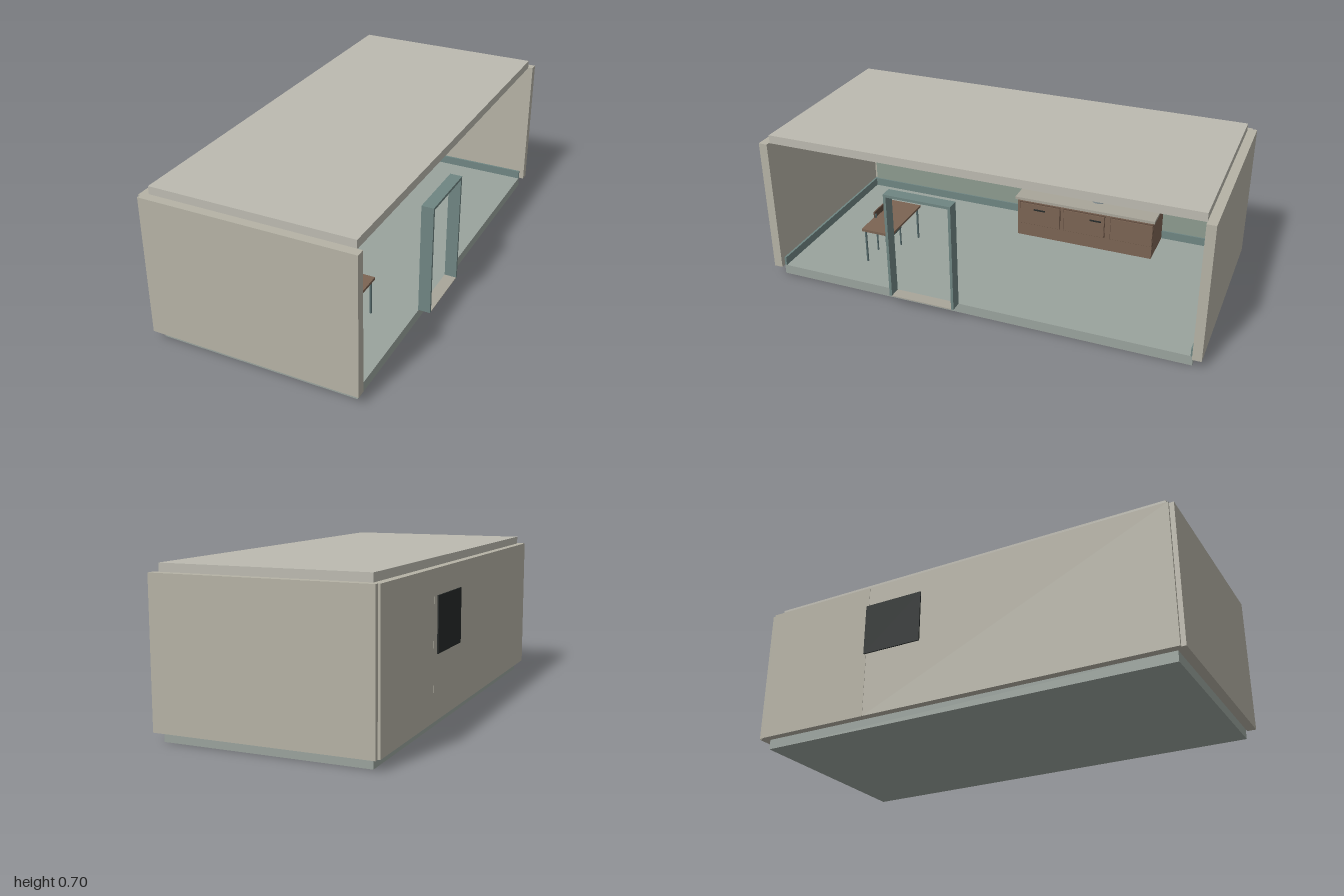
import * as THREE from 'three';

const mat = (color) => new THREE.MeshStandardMaterial({ color });
const M = {
  wall: mat(0xb5b2a5), roof: mat(0xbcbab0), floor: mat(0x9aa39d), tile: mat(0x8c9b8f),
  teal: mat(0x6f8582), trim: mat(0x566b6c), glass: mat(0x6d8384), wood: mat(0x7b6453),
  darkWood: mat(0x5e4a3d), dark: mat(0x262a29), metal: mat(0x8d9799), pale: mat(0xa9a59a),
  board: mat(0xb3ac8e),
};

export function createModel() {
  const root = new THREE.Group();

  const add = (name, geo, material, x, y, z, parent = root) => {
    const m = new THREE.Mesh(geo, material);
    m.name = name;
    m.position.set(x, y, z);
    parent.add(m);
    return m;
  };
  // Box given by its limits on each axis
  const box = (name, material, x0, x1, y0, y1, z0, z1, parent = root) =>
    add(name, new THREE.BoxGeometry(x1 - x0, y1 - y0, z1 - z0), material,
      (x0 + x1) / 2, (y0 + y1) / 2, (z0 + z1) / 2, parent);
  const cyl = (name, material, r, h, x, y, z, parent = root) =>
    add(name, new THREE.CylinderGeometry(r, r, h, 20), material, x, y, z, parent);
  const group = (name) => {
    const g = new THREE.Group();
    g.name = name;
    root.add(g);
    return g;
  };
  // Rectangular frame facing x, built from an outline with a hole
  const frame = (name, material, x0, x1, y0, y1, z0, z1, t, parent = root) => {
    const rect = (C, i) => {
      const s = new C();
      s.moveTo(-z1 + i, y0 + i);
      s.lineTo(-z0 - i, y0 + i);
      s.lineTo(-z0 - i, y1 - i);
      s.lineTo(-z1 + i, y1 - i);
      s.closePath();
      return s;
    };
    const shape = rect(THREE.Shape, 0);
    shape.holes.push(rect(THREE.Path, t));
    const geo = new THREE.ExtrudeGeometry(shape, { depth: x1 - x0, bevelEnabled: false });
    geo.rotateY(Math.PI / 2);
    return add(name, geo, material, x0, 0, 0, parent);
  };

  // Shell: slabs, end walls and the two-piece long wall
  box('floorSlab', M.floor, -0.445, 0.445, 0, 0.045, -0.96, 0.96);
  box('roofSlab', M.roof, -0.445, 0.445, 0.667, 0.705, -0.96, 0.96);
  for (const s of [-1, 1]) {
    const z0 = s > 0 ? 0.96 : -1;
    box('endWall', M.wall, -0.47, 0.468, 0.045, 0.67, z0, z0 + 0.04);
    const k = s * 0.955;
    box('endSkirting', M.teal, -0.445, 0.445, 0.045, 0.085, k - 0.005, k + 0.005);
  }
  box('longWall', M.wall, -0.48, -0.445, 0.045, 0.67, -0.43, 0.98);
  box('longWall', M.wall, -0.48, -0.445, 0.045, 0.67, -0.98, -0.431);
  box('wallTiles', M.tile, -0.446, -0.442, 0.045, 0.21, -0.93, 0.95);
  box('longSkirting', M.teal, -0.445, -0.435, 0.045, 0.085, -0.95, 0.95);

  // Door frame with threshold
  const door = group('doorFrame');
  for (const z of [0.075, 0.373]) {
    box('doorJamb', M.teal, 0.443, 0.497, 0.045, 0.55, z, z + 0.012, door);
  }
  box('doorHead', M.teal, 0.443, 0.497, 0.538, 0.55, 0.075, 0.385, door);
  box('threshold', M.pale, 0.443, 0.497, 0.043, 0.047, 0.087, 0.373, door);

  // Window with sill inside and shutter outside
  const win = group('window');
  frame('windowFrame', M.trim, -0.446, -0.43, 0.33, 0.565, -0.43, -0.14, 0.01, win);
  box('glass', M.glass, -0.446, -0.438, 0.34, 0.555, -0.42, -0.15, win);
  box('mullion', M.trim, -0.446, -0.43, 0.34, 0.555, -0.288, -0.282, win);
  box('sill', M.pale, -0.446, -0.4, 0.315, 0.329, -0.45, -0.115, win);
  box('shutter', M.dark, -0.5, -0.494, 0.33, 0.565, -0.43, -0.145, win);

  // Kitchen unit
  const kitchen = group('kitchenUnit');
  box('cabinet', M.wood, -0.435, -0.225, 0.045, 0.242, -0.615, 0.055, kitchen);
  box('worktop', M.pale, -0.44, -0.21, 0.242, 0.255, -0.625, 0.062, kitchen);
  for (const z of [-0.06, -0.282, -0.515]) {
    box('drawerFront', M.darkWood, -0.226, -0.221, 0.112, 0.228, z - 0.103, z + 0.103, kitchen);
    box('drawerPanel', M.wood, -0.224, -0.217, 0.115, 0.225, z - 0.1, z + 0.1, kitchen);
  }
  for (const z of [-0.06, -0.34]) {
    box('handle', M.dark, -0.218, -0.21, 0.196, 0.201, z - 0.028, z + 0.028, kitchen);
  }

  // Pot and bowl
  const pot = group('pot');
  cyl('potBody', M.metal, 0.038, 0.04, -0.32, 0.275, -0.327, pot);
  cyl('potLid', M.trim, 0.04, 0.006, -0.32, 0.298, -0.327, pot);
  cyl('lidKnob', M.dark, 0.008, 0.01, -0.32, 0.305, -0.327, pot);
  box('potHandles', M.dark, -0.326, -0.314, 0.282, 0.288, -0.387, -0.267, pot);
  cyl('bowl', M.pale, 0.02, 0.02, -0.32, 0.265, -0.1);

  // Table
  const table = group('table');
  box('tableTop', M.wood, -0.02, 0.285, 0.208, 0.22, 0.48, 0.63, table);
  for (const x of [-0.008, 0.272]) {
    for (const z of [0.493, 0.617]) cyl('tableLeg', M.trim, 0.005, 0.165, x, 0.127, z, table);
  }

  // Chair tucked under the table
  const chair = group('chair');
  box('chairSeat', M.trim, 0.08, 0.17, 0.137, 0.144, 0.535, 0.625, chair);
  box('chairBack', M.darkWood, 0.08, 0.17, 0.165, 0.25, 0.622, 0.629, chair);
  for (const x of [0.085, 0.165]) {
    for (const z of [0.54, 0.62]) cyl('chairLeg', M.trim, 0.004, 0.095, x, 0.092, z, chair);
    cyl('backPost', M.trim, 0.004, 0.1, x, 0.19, 0.62, chair);
  }

  // Ceiling lamps, cable and junction box
  for (const z of [0.453, -0.44]) {
    box('lampHousing', M.trim, -0.03, 0.03, 0.643, 0.657, z - 0.112, z + 0.112);
    box('lampTube', M.pale, -0.016, 0.016, 0.639, 0.645, z - 0.098, z + 0.098);
    box('lampMount', M.trim, -0.01, 0.01, 0.655, 0.668, z - 0.04, z + 0.04);
  }
  box('cable', M.dark, -0.444, -0.438, 0.638, 0.644, -0.55, 0.87);
  box('junctionBox', M.trim, -0.445, -0.425, 0.605, 0.64, 0.845, 0.875);

  // Stepped wall plates and hook
  [[-0.83, 0.343], [-0.863, 0.3], [-0.885, 0.243]].forEach(([z, y]) =>
    box('wallPlate', M.pale, -0.446, -0.438, y - 0.035, y + 0.035, z - 0.025, z + 0.025));
  box('wallHook', M.dark, -0.445, -0.43, 0.304, 0.309, -0.83, -0.803);

  // End-wall picture and pin board
  box('picture', M.wood, -0.17, -0.03, 0.305, 0.455, -0.961, -0.946);
  box('pinBoard', M.board, 0.09, 0.18, 0.328, 0.392, -0.961, -0.948);
  for (const x of [0.112, 0.135, 0.158]) {
    for (const y of [0.348, 0.372]) {
      box('pin', M.darkWood, x - 0.004, x + 0.004, y - 0.004, y + 0.004, -0.95, -0.946);
    }
  }
  return root;
}
